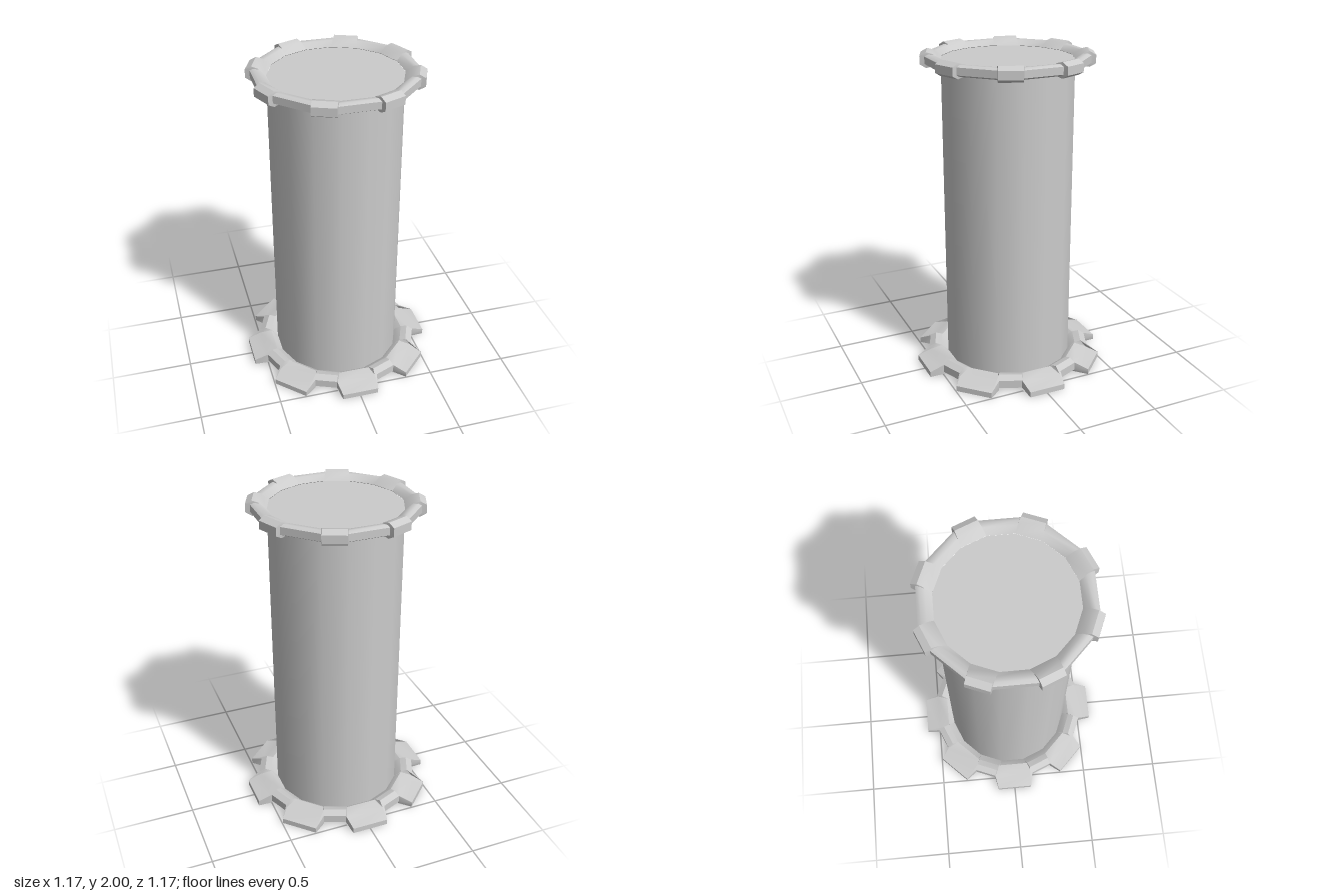
import * as THREE from 'three';
import { toCreasedNormals } from 'three/addons/utils/BufferGeometryUtils.js';

const SEGMENTS = 16;
const STEP = (Math.PI * 2) / SEGMENTS;
const material = new THREE.MeshStandardMaterial({ color: 0xcccccc });

// Section points: [half width of the segment, distance from axis, upper y, lower y]
const bump = [
  [0.078, 0.39, 0, 0],
  [0.073, 0.436, 0.036, -0.036],
  [0.07, 0.475, 0.046, -0.046],
  [0.07, 0.513, 0.025, -0.025],
];
const groove = [
  [0.078, 0.39, 0, 0],
  [0.095, 0.425, 0.03, -0.03],
  [0.11, 0.455, 0.033, -0.033],
  [0.12, 0.475, 0.022, -0.022],
];
const tooth = [
  [0.078, 0.39, 0, 0],
  [0.097, 0.43, 0.032, -0.032],
  [0.13, 0.497, 0.002, -0.04],
  [0.115, 0.585, -0.015, -0.05],
];

// Closed flange ring alternating two kinds of segment
function flangeGeometry(even, odd) {
  const positions = [];
  const index = [];
  for (let k = 0; k < SEGMENTS; k++) {
    const section = k % 2 ? odd : even;
    const s = Math.sin(k * STEP);
    const c = Math.cos(k * STEP);
    for (const side of [-1, 1]) {
      const add = (p, y) => {
        const w = p[0] * side;
        positions.push(w * c + p[1] * s, y, p[1] * c - w * s);
      };
      section.forEach((p) => add(p, p[2]));
      section.slice(1).reverse().forEach((p) => add(p, p[3]));
    }
  }
  const n = even.length * 2 - 1;
  const columns = SEGMENTS * 2;
  for (let i = 0; i < columns; i++) {
    for (let j = 0; j < n; j++) {
      const next = ((i + 1) % columns) * n;
      const j2 = (j + 1) % n;
      const a = i * n + j, b = next + j, c = next + j2, d = i * n + j2;
      index.push(a, d, b, b, d, c);
    }
  }
  const geometry = new THREE.BufferGeometry();
  geometry.setAttribute('position', new THREE.Float32BufferAttribute(positions, 3));
  geometry.setIndex(index);
  return toCreasedNormals(geometry, 0.75);
}

export function createModel() {
  const model = new THREE.Group();
  const add = (name, geometry, y) => {
    const mesh = new THREE.Mesh(geometry, material);
    mesh.name = name;
    mesh.position.y = y;
    model.add(mesh);
  };

  // Capped column with flats facing the axes
  add('column', new THREE.CylinderGeometry(0.398, 0.398, 1.9, SEGMENTS, 1, false, STEP / 2), 1);

  // Knobbed rim at the top, toothed flange at the foot
  add('topRim', flangeGeometry(groove, bump), 1.952);
  add('toothedBase', flangeGeometry(tooth, bump), 0.05);
  return model;
}
